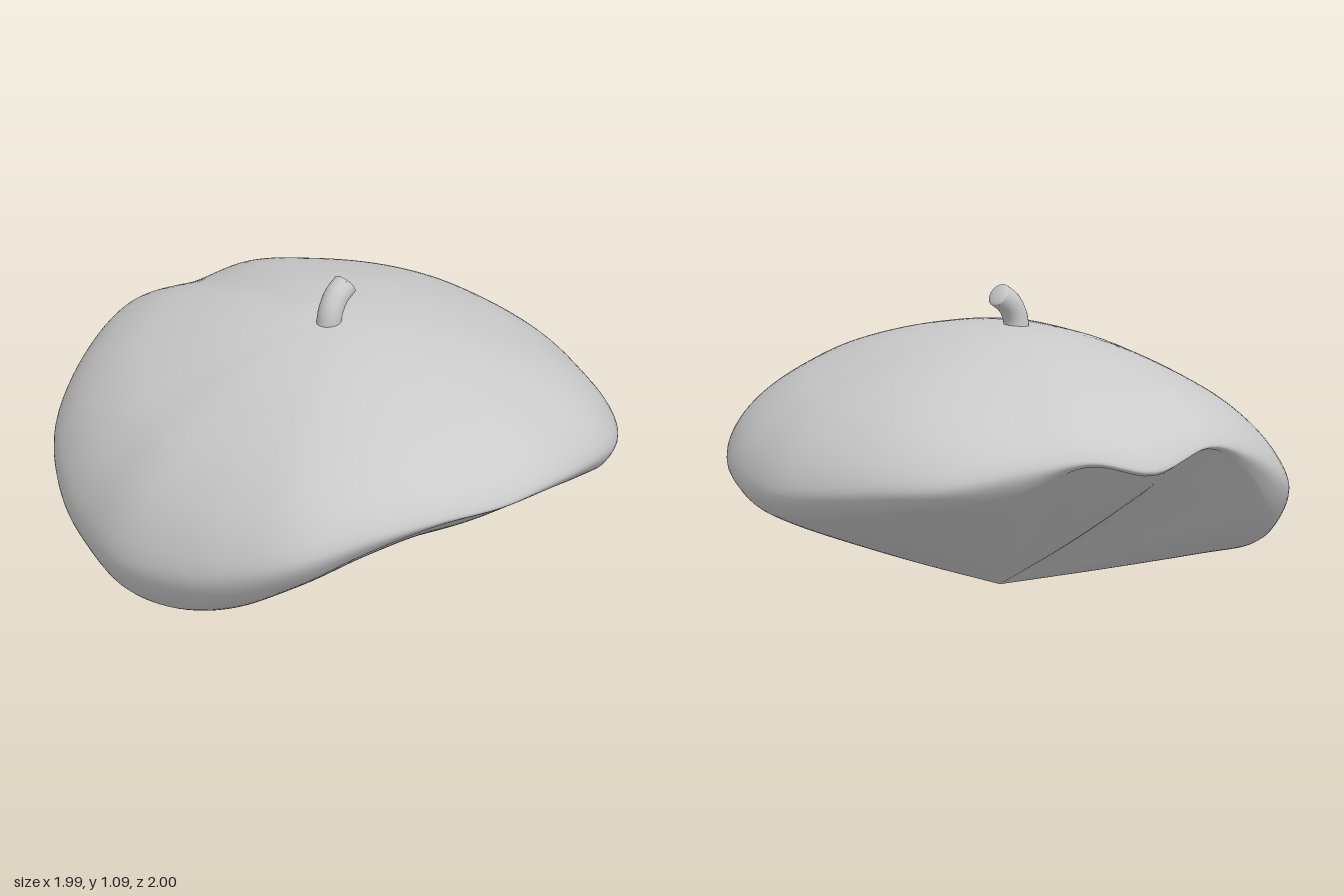
import * as THREE from 'three';

const material = new THREE.MeshStandardMaterial({ color: 0xcccccc, roughness: 0.8 });

// Rim every 15 degrees from +x towards +z: radius, height of widest line, height of lower fold
const RIM = [
  [0.99, 0.60, 0.56], [0.99, 0.60, 0.55], [1.01, 0.56, 0.47], [1.04, 0.47, 0.34],
  [1.02, 0.37, 0.20], [1.00, 0.30, 0.12], [0.995, 0.27, 0.10], [0.98, 0.28, 0.11],
  [1.00, 0.33, 0.14], [1.02, 0.42, 0.26], [1.00, 0.55, 0.46], [0.99, 0.63, 0.60],
  [1.00, 0.57, 0.53], [0.995, 0.62, 0.58], [1.00, 0.58, 0.47], [1.02, 0.53, 0.43],
  [1.01, 0.50, 0.39], [1.00, 0.46, 0.35], [1.00, 0.43, 0.32], [0.99, 0.43, 0.32],
  [1.00, 0.46, 0.36], [1.00, 0.51, 0.40], [0.98, 0.56, 0.48], [0.985, 0.60, 0.54],
].map((p) => new THREE.Vector3(...p));

// Crown profile: share of the radius, share of the drop from peak to widest line
const CROWN = [[0, 0], [0.2, 0.04], [0.45, 0.165], [0.7, 0.38], [0.85, 0.58], [0.95, 0.79], [1, 1]];
const PEAK = 0.94;

// Cross-section from the peak, over the rim and back under to the low point
function crossSection({ x: radius, y: widest, z: fold }) {
  const depth = widest - fold;
  const foldRadius = radius * (0.975 - 0.5 * depth);
  const points = CROWN.map(([r, d]) => new THREE.Vector2(r * radius, PEAK - d * (PEAK - widest)));
  points.push(
    new THREE.Vector2(THREE.MathUtils.lerp(radius, foldRadius, 0.3), widest - depth * 0.6),
    new THREE.Vector2(foldRadius, fold),
    new THREE.Vector2(foldRadius * 0.8, fold * 0.76),
    new THREE.Vector2(foldRadius * 0.4, fold * 0.36),
    new THREE.Vector2(0, 0),
  );
  return new THREE.SplineCurve(points);
}

function capGeometry(around = 144, along = 66) {
  const rim = new THREE.CatmullRomCurve3(RIM, true, 'catmullrom', 0.5);
  const positions = [];
  const index = [];
  for (let i = 0; i < around; i++) {
    const angle = (i / around) * Math.PI * 2;
    const section = crossSection(rim.getPoint(i / around));
    for (let j = 0; j <= along; j++) {
      const p = section.getPoint(j / along);
      // the low point of the underside sits slightly behind the centre
      const shift = j / along > 0.7 ? -0.03 * Math.max(0, 1 - p.x) : 0;
      positions.push(p.x * Math.cos(angle), p.y, p.x * Math.sin(angle) + shift);
      if (j === along) continue;
      const a = i * (along + 1) + j;
      const b = ((i + 1) % around) * (along + 1) + j;
      if (j > 0) index.push(a, b, a + 1);
      if (j < along - 1) index.push(b, b + 1, a + 1);
    }
  }
  const geometry = new THREE.BufferGeometry();
  geometry.setAttribute('position', new THREE.Float32BufferAttribute(positions, 3));
  geometry.setIndex(index);
  geometry.computeVertexNormals();
  return geometry;
}

export function createModel() {
  const group = new THREE.Group();
  group.name = 'beret';

  const cap = new THREE.Mesh(capGeometry(), material);
  cap.name = 'cap';
  group.add(cap);

  // Short stalk bending backwards
  const path = new THREE.CatmullRomCurve3([
    new THREE.Vector3(0.003, 0.90, 0.045),
    new THREE.Vector3(0.003, 0.97, 0.034),
    new THREE.Vector3(-0.004, 1.02, 0.004),
    new THREE.Vector3(-0.01, 1.053, -0.04),
  ]);
  const radius = 0.045;
  const stalk = new THREE.Mesh(new THREE.TubeGeometry(path, 24, radius, 24), material);
  stalk.name = 'stalk';
  group.add(stalk);

  // Slightly domed end of the stalk
  const tip = new THREE.Mesh(new THREE.SphereGeometry(radius, 24, 8, 0, Math.PI * 2, 0, Math.PI / 2), material);
  tip.name = 'stalkTip';
  tip.scale.y = 0.3;
  tip.position.copy(path.getPoint(1));
  tip.quaternion.setFromUnitVectors(new THREE.Vector3(0, 1, 0), path.getTangent(1));
  group.add(tip);

  return group;
}
